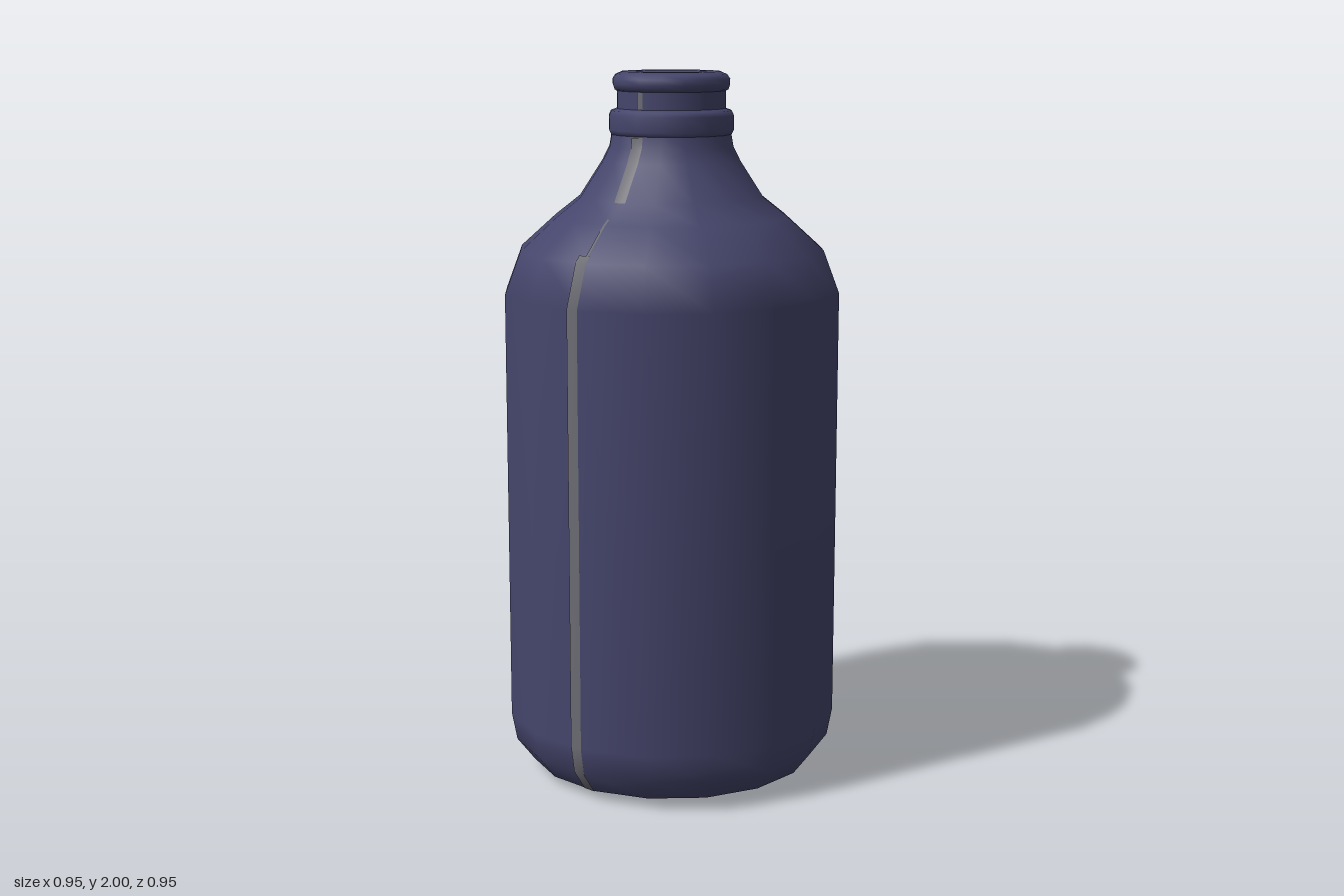
import * as THREE from 'three';

const SIDES = 16;

export function createModel() {
  const model = new THREE.Group();
  model.name = 'bottle';

  const glass = new THREE.MeshStandardMaterial({ color: 0x45456c });
  glass.name = 'dark blue glass';
  const seamGrey = new THREE.MeshStandardMaterial({ color: 0x6a6a72 });
  seamGrey.name = 'seam grey';

  const add = (name, geometry, material) => {
    const mesh = new THREE.Mesh(geometry, material);
    mesh.name = name;
    model.add(mesh);
    return mesh;
  };

  // Turned part from [radius, height] pairs, listed from bottom to top
  const turned = (name, profile) => add(name, new THREE.LatheGeometry(
    profile.map(([r, y]) => new THREE.Vector2(r, y)), SIDES), glass);

  const wall = [[0.41, 0.025], [0.46, 0.09], [0.475, 0.17], [0.475, 1.39], [0.43, 1.51]];
  const shoulder = [[0.33, 1.6], [0.26, 1.655], [0.195, 1.755], [0.175, 1.795], [0.168, 1.835]];

  turned('body', [[0.33, 0.002], ...wall, ...shoulder]);
  turned('base', [[0, 0.002], [0.33, 0.002]]);
  turned('collarRing', [[0.155, 1.822], [0.17, 1.828], [0.176, 1.84], [0.176, 1.88], [0.17, 1.893], [0.15, 1.9]]);
  turned('neck', [[0.153, 1.89], [0.153, 1.955]]);
  turned('lip', [[0.145, 1.943], [0.16, 1.951], [0.165, 1.965], [0.165, 1.98], [0.157, 1.992], [0.138, 2], [0.1, 2]]);
  turned('mouthDisc', [[0.1, 2], [0.094, 1.996], [0, 1.996]]);

  // Seam strip lying on the two facets next to the front edge
  const slope = Math.tan(Math.PI / SIDES);
  const strip = (name, profile, left, right) => {
    const columns = [left, (left + right) / 2, right].map((x, i) => (i === 1 && left * right < 0 ? 0 : x));
    const positions = [];
    const index = [];
    profile.forEach(([r, y], row) => {
      columns.forEach((x) => positions.push(x, y, r + 0.003 - Math.abs(x) * slope));
      if (row === 0) return;
      for (let c = 0; c < 2; c++) {
        const a = (row - 1) * 3 + c;
        index.push(a, a + 1, a + 4, a, a + 4, a + 3);
      }
    });
    const geometry = new THREE.BufferGeometry();
    geometry.setAttribute('position', new THREE.Float32BufferAttribute(positions, 3));
    geometry.setIndex(index);
    geometry.computeVertexNormals();
    add(name, geometry, seamGrey);
  };
  strip('bodySeam', [[0.33, 0.002], ...wall, [0.412, 1.527]], -0.038, 0);
  strip('thinSeam', [[0.412, 1.527], [0.33, 1.6], [0.308, 1.615]], -0.013, -0.005);
  strip('shoulderSeam', [[0.26, 1.655], [0.195, 1.755], [0.175, 1.795], [0.17, 1.825]], -0.023, 0.013);
  strip('neckSeam', [[0.153, 1.9], [0.153, 1.945]], -0.016, 0.004);

  // Thin marks on the underside
  const underRing = (name, inner, outer, start, sweep, material) => {
    const geometry = new THREE.RingGeometry(inner, outer, SIDES, 1,
      THREE.MathUtils.degToRad(start), THREE.MathUtils.degToRad(sweep));
    geometry.rotateX(Math.PI / 2);
    return add(name, geometry, material);
  };
  [[125, 30], [165, 50], [225, 35], [275, 40]].forEach(([start, sweep]) =>
    underRing('baseArc', 0.3, 0.315, start, sweep, seamGrey));
  underRing('baseRing', 0.135, 0.165, 0, 360, seamGrey);

  const baseSeam = new THREE.PlaneGeometry(0.19, 0.035).rotateX(Math.PI / 2);
  add('baseSeam', baseSeam, seamGrey).position.x = 0.245;

  // Centre ring is shaded with reversed normals, as an inner face
  const centre = underRing('baseCentreRing', 0.075, 0.113, 0, 360, glass);
  const normals = centre.geometry.attributes.normal;
  for (let i = 0; i < normals.count; i++) normals.setXYZ(i, 0, 1, 0);

  return model;
}
